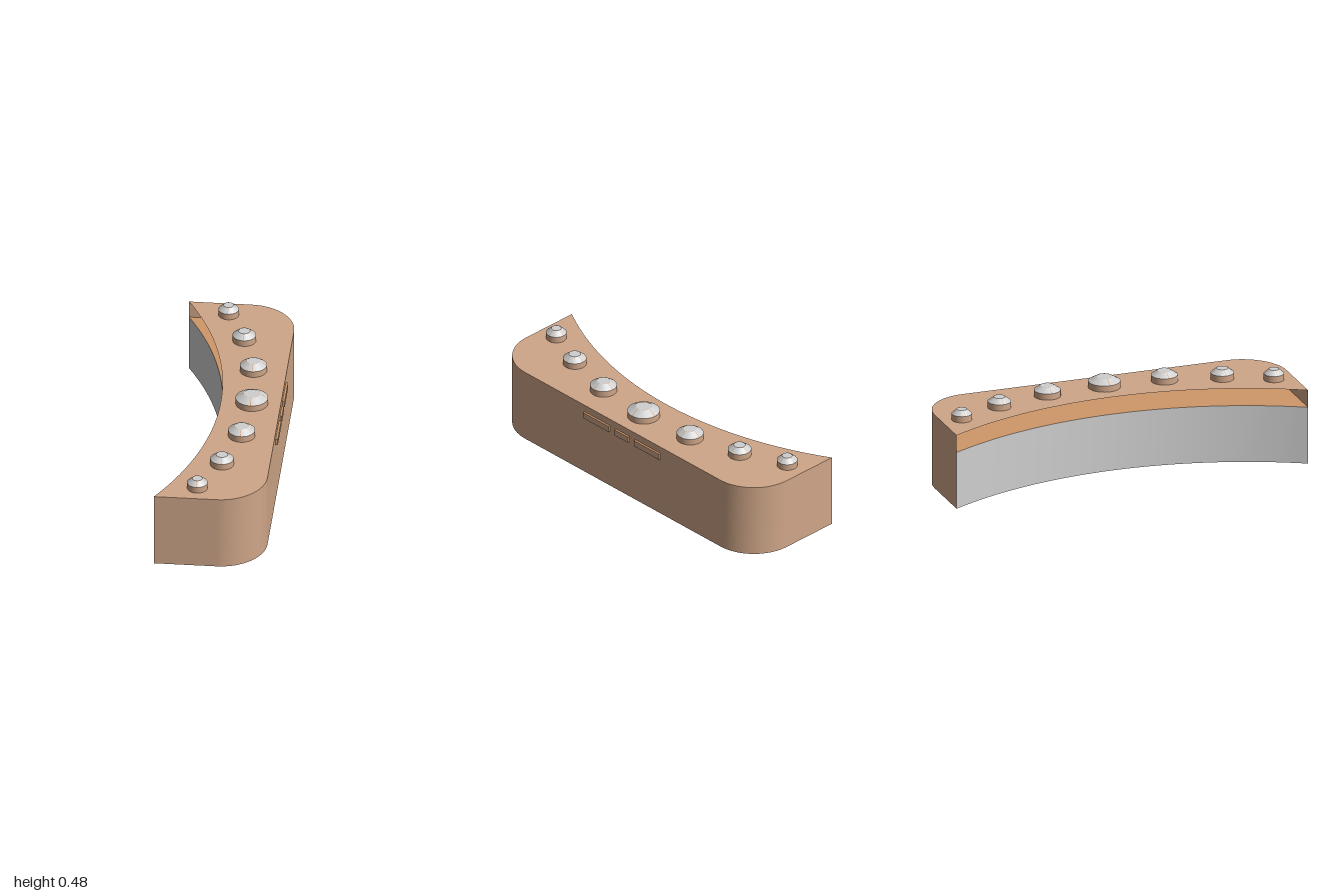
import * as THREE from 'three';

const mat = (name, color, side = THREE.FrontSide) => {
  const m = new THREE.MeshStandardMaterial({ color, side });
  m.name = name;
  return m;
};

const HEIGHT = 0.417, SHELF = 0.32;
const SIDE_X = 0.286, TIP_X = -0.3, MID_X = -0.035, CORNER = 0.25;

// Vertical sheet standing along a list of (x, z) points
function wallSheet(points, y0, y1) {
  const pos = [], idx = [];
  points.forEach((p, i) => {
    pos.push(p.x, y0, p.y, p.x, y1, p.y);
    if (i) {
      const a = 2 * (i - 1);
      idx.push(a, a + 1, a + 2, a + 1, a + 3, a + 2);
    }
  });
  const g = new THREE.BufferGeometry();
  g.setAttribute('position', new THREE.Float32BufferAttribute(pos, 3));
  g.setIndex(idx);
  g.computeVertexNormals();
  return g;
}

export function createModel() {
  const tan = mat('tan wood', 0xcfa688, THREE.DoubleSide);
  const brown = mat('orange wood', 0xcf9869, THREE.DoubleSide);
  const grey = mat('light grey', 0xcfcfcf, THREE.DoubleSide);

  const model = new THREE.Group();
  const add = (parent, name, geometry, material, x = 0, y = 0, z = 0) => {
    const mesh = new THREE.Mesh(geometry, material);
    mesh.name = name;
    mesh.position.set(x, y, z);
    parent.add(mesh);
    return mesh;
  };

  // Plan outline: straight ends, rounded corners, flat long side
  const outer = [new THREE.Vector2(TIP_X, -1)];
  for (const s of [-1, 1]) {
    for (let i = 0; i <= 16; i++) {
      const t = (i / 16) * Math.PI / 2, a = s < 0 ? t : Math.PI / 2 - t;
      outer.push(new THREE.Vector2(
        SIDE_X - CORNER + CORNER * Math.sin(a),
        s * (1 - CORNER + CORNER * Math.cos(a))));
    }
  }
  outer.push(new THREE.Vector2(TIP_X, 1));

  // Concave arc back from one tip to the other
  const sag = MID_X - TIP_X, R = (1 + sag * sag) / (2 * sag);
  const half = Math.asin(1 / R), inner = [];
  for (let i = 0; i <= 48; i++) {
    const a = half * (1 - i / 24);
    inner.push(new THREE.Vector2(MID_X - R + R * Math.cos(a), R * Math.sin(a)));
  }

  const slab = () => new THREE.ShapeGeometry(
    new THREE.Shape([...outer, ...inner.slice(1, -1)])).rotateX(Math.PI / 2);

  // Body is hollow and open below, with a slot above the concave wall
  add(model, 'outerWall', wallSheet(outer, 0, HEIGHT), tan);
  add(model, 'topPanel', slab(), tan, 0, HEIGHT, 0);
  add(model, 'innerShelf', slab(), brown, 0, SHELF, 0);
  add(model, 'concaveWall', wallSheet(inner, 0, SHELF), grey);

  // Row of knobs, largest in the middle: x, z, radius
  const knob = (x, z, r) => {
    const g = new THREE.Group();
    g.name = 'knob';
    g.position.set(x, HEIGHT, z);
    add(g, 'knobBase', new THREE.CylinderGeometry(r, r, 0.035, 40), tan, 0, 0.0175, 0);
    add(g, 'knobCore', new THREE.CylinderGeometry(r / 2, r, 0.024, 40), brown, 0, 0.046, 0);
    // four bevel segments with narrow gaps, and a flat cap
    const gap = 0.03;
    for (let i = 0; i < 4; i++) {
      add(g, 'knobBevel', new THREE.CylinderGeometry(r / 2, r, 0.025, 10, 1, true,
        i * Math.PI / 2 + gap, Math.PI / 2 - 2 * gap), grey, 0, 0.0475, 0);
    }
    add(g, 'knobCap', new THREE.CircleGeometry(r * 0.49, 32).rotateX(-Math.PI / 2),
      grey, 0, 0.06, 0);
    model.add(g);
  };
  knob(0.131, 0, 0.087);
  for (const s of [-1, 1]) {
    knob(0.108, s * 0.333, 0.072);
    knob(0.031, s * 0.634, 0.063);
    knob(-0.077, s * 0.888, 0.055);
  }

  // Three raised bars on the flat side
  for (const [z, length] of [[-0.195, 0.195], [0, 0.105], [0.195, 0.195]]) {
    add(model, 'sideBar', new THREE.BoxGeometry(0.012, 0.035, length),
      [tan, brown, brown, brown, brown, brown], SIDE_X + 0.006, 0.3595, z);
  }

  return model;
}
